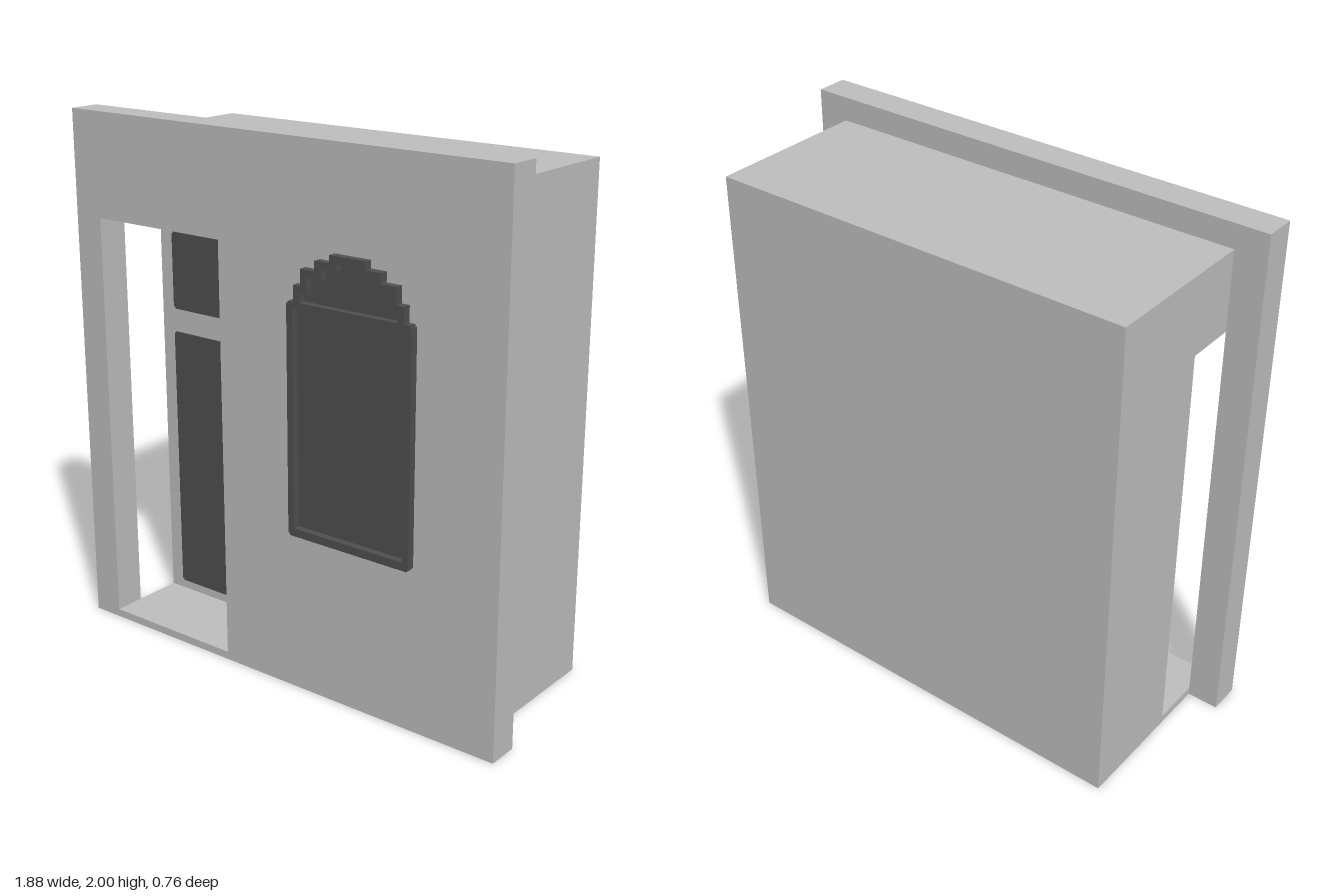
import * as THREE from 'three';

const wall = new THREE.MeshStandardMaterial({ color: 0xc0c0c0 });
wall.name = 'pale grey wall';
const dark = new THREE.MeshStandardMaterial({ color: 0x505050 });
dark.name = 'dark grey trim';

// Closed outline from [x, y] points
const outline = (pts, Type = THREE.Shape) => new Type(pts.map(([x, y]) => new THREE.Vector2(x, y)));

const rect = (x0, y0, x1, y1) => [[x0, y0], [x1, y0], [x1, y1], [x0, y1]];

// Rectangle with small square notches at its corners
const notched = (x0, y0, x1, y1, n) => [
  [x0 + n, y0], [x1 - n, y0], [x1 - n, y0 + n], [x1, y0 + n],
  [x1, y1 - n], [x1 - n, y1 - n], [x1 - n, y1], [x0 + n, y1],
  [x0 + n, y1 - n], [x0, y1 - n], [x0, y0 + n], [x0 + n, y0 + n],
];

// Mirrors the right half of an outline (bottom to top) about x = cx
const mirrored = (half, cx) => [
  ...half.map(([x, y]) => [cx + x, y]),
  ...half.slice().reverse().map(([x, y]) => [cx - x, y]),
];

// Slab between two z levels, with optional holes
function slab(name, pts, z0, z1, material, holes = []) {
  const shape = outline(pts);
  holes.forEach((h) => shape.holes.push(outline(h, THREE.Path)));
  const geo = new THREE.ExtrudeGeometry(shape, { depth: z1 - z0, bevelEnabled: false });
  const mesh = new THREE.Mesh(geo, material);
  mesh.name = name;
  mesh.position.z = z0;
  return mesh;
}

export function createModel() {
  const model = new THREE.Group();
  model.name = 'shopfront';

  // Facade with the doorway cut through it
  const doorway = rect(-0.82, 0.03, -0.24, 1.61);
  model.add(slab('facade', rect(-0.94, 0, 0.94, 2), 0.23, 0.35, wall, [doorway]));

  // Building behind: solid rear, and a front part whose porch is open at the side
  model.add(slab('rearBuilding', rect(-0.82, 0, 0.82, 1.91), -0.38, 0.04, wall));
  model.add(slab('porchSurround', [
    [-0.82, 0], [0.82, 0], [0.82, 1.91], [-0.82, 1.91],
    [-0.82, 1.61], [-0.24, 1.61], [-0.24, 0.03], [-0.82, 0.03],
  ], 0.04, 0.23, wall));

  // Door panels, the lower one leaving a pale handle
  const door = new THREE.Group();
  door.name = 'door';
  const handle = [
    [-0.353, 0.515], [-0.338, 0.53], [-0.338, 0.597],
    [-0.353, 0.612], [-0.368, 0.597], [-0.368, 0.53],
  ];
  door.add(slab('lowerDoorPanel', notched(-0.76, 0.065, -0.278, 1.122, 0.007), 0.04, 0.044, dark, [handle]));
  door.add(slab('upperDoorPanel', notched(-0.76, 1.214, -0.278, 1.516, 0.007), 0.04, 0.044, dark));
  model.add(door);

  // Window with a stepped arch: raised frame over a thin backing
  const cx = 0.346;
  const frame = mirrored([
    [0.25, 0.608], [0.25, 0.616], [0.257, 0.616], [0.257, 1.447], [0.25, 1.447],
    [0.25, 1.455], [0.227, 1.455], [0.227, 1.513], [0.196, 1.513], [0.196, 1.572],
    [0.136, 1.572], [0.136, 1.608], [0.073, 1.608], [0.073, 1.636],
  ], cx);
  const archOpening = mirrored([
    [0.2, 1.455], [0.2, 1.485], [0.168, 1.485], [0.168, 1.545],
    [0.108, 1.545], [0.108, 1.582], [0.045, 1.582], [0.045, 1.608],
  ], cx);
  const paneOpening = rect(cx - 0.231, 0.638, cx + 0.231, 1.43);
  const win = new THREE.Group();
  win.name = 'window';
  win.add(slab('windowFrame', frame, 0.354, 0.38, dark, [paneOpening, archOpening]));
  win.add(slab('windowPane', frame, 0.35, 0.354, dark));
  model.add(win);

  return model;
}
